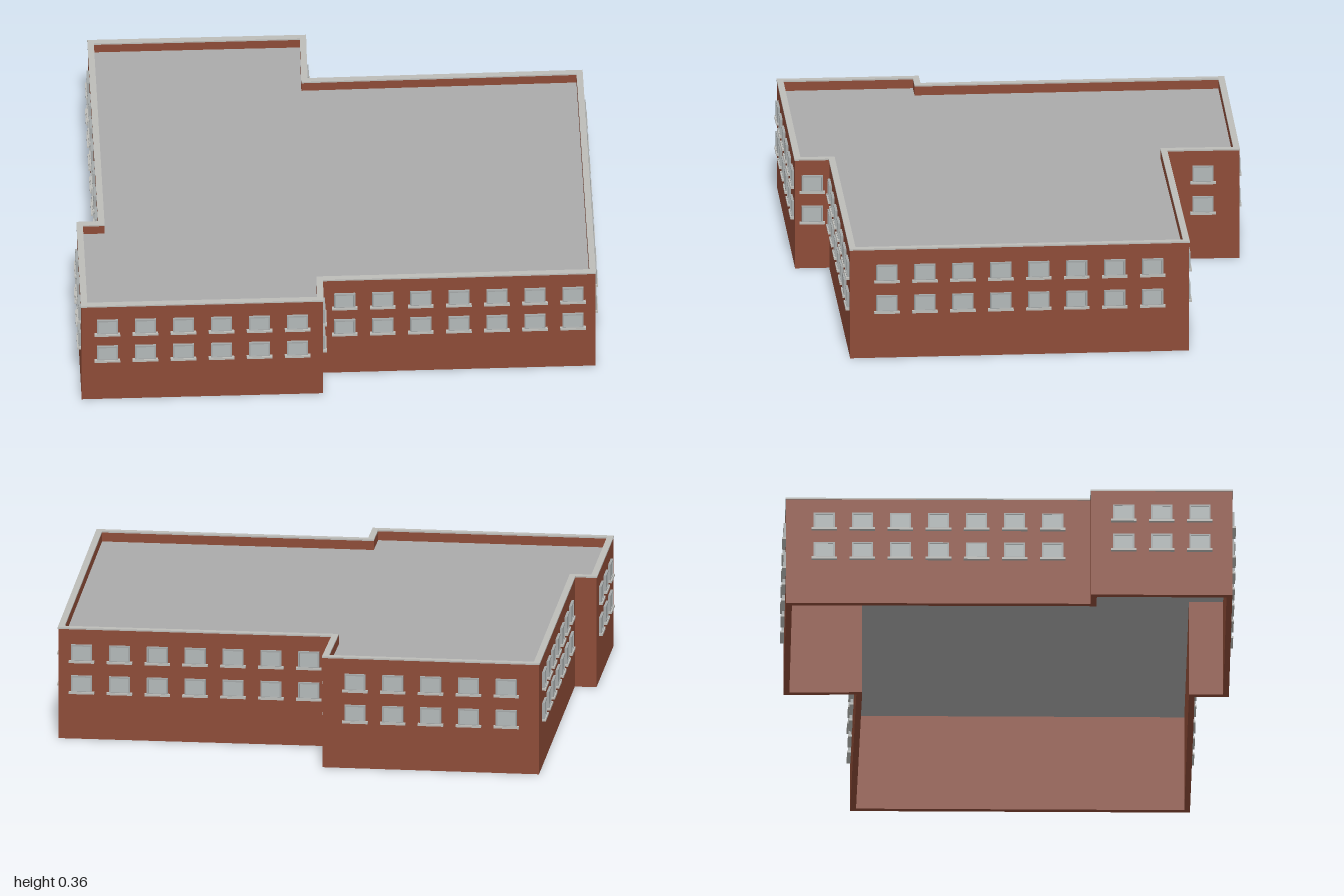
import * as THREE from 'three';

const mat = (name, color, side = THREE.FrontSide) => {
  const m = new THREE.MeshStandardMaterial({ color, side });
  m.name = name;
  return m;
};

// Footprint corners [x, z] and the number of window columns on the wall that starts there
const FOOTPRINT = [
  [-0.11, -0.975, 5], [0.437, -0.57, 1], [0.298, -0.39, 7], [0.995, 0.115, 8], [0.362, 0.968, 7],
  [-0.327, 0.463, 1], [-0.392, 0.548, 6], [-1, 0.1, 3], [-0.735, -0.253, 0], [-0.68, -0.213, 7],
];
const TOP = 0.362, CAP = 0.005, ROOF = 0.328, THICK = 0.018, PITCH = 0.119;
const WIN_W = 0.066, WIN_H = 0.054, ROWS = [0.18, 0.281];

export function createModel() {
  const group = new THREE.Group();
  const brick = mat('brick', 0x8d4b37);
  const roofGrey = mat('roof grey', 0xaaaaaa);
  const capGrey = mat('coping grey', 0xbcbcb8);
  const glass = mat('window pale grey', 0xb2b8b8);
  const frameGrey = mat('window frame grey', 0xa4a8a8);

  const corners = FOOTPRINT.map(([x, z]) => new THREE.Vector2(x, z));
  const next = (i) => corners[(i + 1) % corners.length];
  const normals = corners.map((p, i) => {
    const t = next(i).clone().sub(p).normalize();
    return new THREE.Vector2(t.y, -t.x);
  });

  // Mitred outline moved inward by d
  const inset = (d) => corners.map((p, i) => {
    const a = normals[(i + normals.length - 1) % normals.length], b = normals[i];
    return p.clone().addScaledVector(a.clone().add(b), -d / (1 + a.dot(b)));
  });

  // Horizontal slab between two heights, optionally hollow
  const slab = (name, outer, hole, y0, y1, material) => {
    const shape = new THREE.Shape(outer);
    if (hole) shape.holes.push(new THREE.Path(hole));
    const geo = new THREE.ExtrudeGeometry(shape, { depth: y1 - y0, bevelEnabled: false });
    geo.rotateX(Math.PI / 2).translate(0, y1, 0);
    const mesh = new THREE.Mesh(geo, material);
    mesh.name = name;
    group.add(mesh);
  };

  const inner = inset(THICK);
  slab('walls', corners, inner, 0, TOP - CAP, brick);
  slab('parapetCoping', inset(-0.002), inner, TOP - CAP, TOP, capGrey);
  slab('roof', inset(THICK * 0.5), null, ROOF - 0.008, ROOF, roofGrey);

  // Window parts, facing +z with their back on the wall
  const ring = new THREE.Shape();
  const rect = (s, w, h) => s.moveTo(-w, -h).lineTo(w, -h).lineTo(w, h).lineTo(-w, h).closePath();
  rect(ring, WIN_W / 2, WIN_H / 2);
  ring.holes.push(rect(new THREE.Path(), WIN_W / 2 - 0.005, WIN_H / 2 - 0.005));
  const frameGeo = new THREE.ExtrudeGeometry(ring, { depth: 0.008, bevelEnabled: false });
  const paneGeo = new THREE.BoxGeometry(WIN_W - 0.008, WIN_H - 0.008, 0.006).translate(0, 0, 0.002);
  const sillGeo = new THREE.BoxGeometry(0.08, 0.007, 0.014).translate(0, -WIN_H / 2 - 0.001, 0.005);

  const makeWindow = () => {
    const w = new THREE.Group();
    w.name = 'window';
    for (const [name, geo, m] of [['windowFrame', frameGeo, frameGrey],
      ['windowPane', paneGeo, glass], ['windowSill', sillGeo, capGrey]]) {
      const mesh = new THREE.Mesh(geo, m);
      mesh.name = name;
      w.add(mesh);
    }
    return w;
  };

  // Two rows of evenly pitched windows, centred on each wall
  FOOTPRINT.forEach(([, , count], i) => {
    const mid = corners[i].clone().add(next(i)).multiplyScalar(0.5);
    const n = normals[i];
    for (let c = 0; c < count; c++) {
      const s = (c - (count - 1) / 2) * PITCH;
      for (const y of ROWS) {
        const w = makeWindow();
        w.position.set(mid.x - n.y * s, y, mid.y + n.x * s);
        w.rotation.y = Math.atan2(n.x, n.y);
        group.add(w);
      }
    }
  });

  return group;
}
